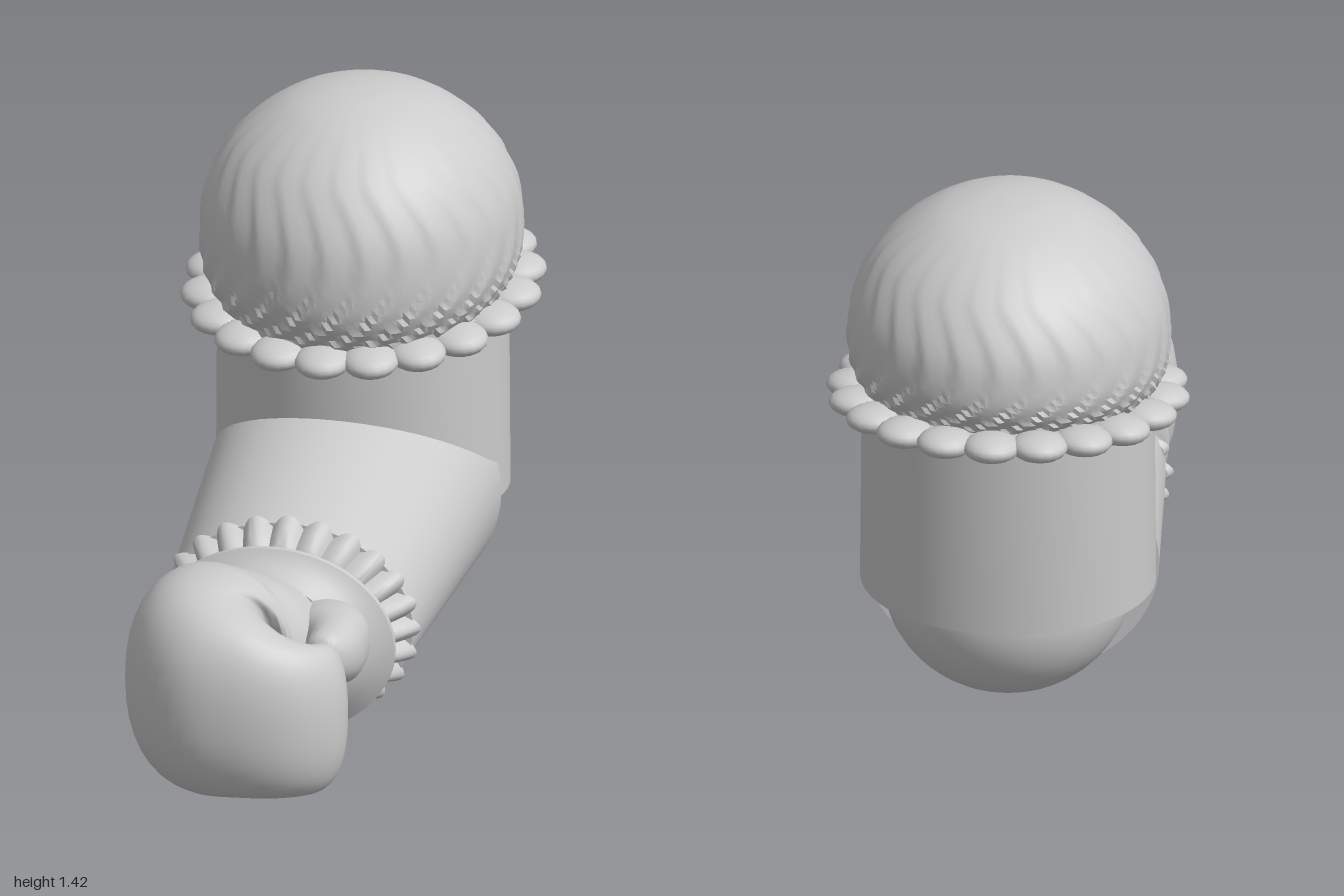
import * as THREE from 'three';
import { toCreasedNormals } from 'three/addons/utils/BufferGeometryUtils.js';

const material = new THREE.MeshStandardMaterial({ color: 0xcccccc, side: THREE.DoubleSide });
const X = new THREE.Vector3(1, 0, 0), Y = new THREE.Vector3(0, 1, 0), Z = new THREE.Vector3(0, 0, 1);

function add(group, name, geometry) {
  const mesh = new THREE.Mesh(geometry, material);
  mesh.name = name;
  group.add(mesh);
  return mesh;
}

// Skin of quads through closed rings of points, with a fan over each end
function skin(rings, crease = 0.7) {
  const n = rings[0].length, last = rings.length - 1, points = [], index = [];
  rings.forEach(ring => ring.forEach(p => points.push(p.x, p.y, p.z)));
  for (let i = 0; i < last; i++) for (let j = 0; j < n; j++) {
    const k = (j + 1) % n, a = i * n + j, b = i * n + k;
    index.push(a, b, a + n, b, b + n, a + n);
  }
  [0, last].forEach(i => {
    const c = rings[i].reduce((s, p) => s.add(p), new THREE.Vector3()).divideScalar(n);
    const centre = points.length / 3;
    points.push(c.x, c.y, c.z);
    for (let j = 0; j < n; j++) {
      const a = i * n + j, b = i * n + (j + 1) % n;
      if (i) index.push(a, b, centre); else index.push(b, a, centre);
    }
  });
  const g = new THREE.BufferGeometry();
  g.setAttribute('position', new THREE.Float32BufferAttribute(points, 3));
  g.setIndex(index);
  return toCreasedNormals(g, crease);
}

// Ring around c with half-axes u and v; scale(angle) varies the radius, power < 1 squares it off
function ring(c, u, v, n, scale = () => 1, power = 1) {
  const soft = s => Math.sign(s) * Math.abs(s) ** power;
  return Array.from({ length: n }, (_, j) => {
    const a = j / n * Math.PI * 2, s = scale(a);
    return c.clone().addScaledVector(u, soft(Math.cos(a)) * s).addScaledVector(v, soft(Math.sin(a)) * s);
  });
}

// Sections along z: [z, centre y, x radius, y radius]
const alongZ = (sections, n = 64, scale) => skin(sections.map(([z, y, rx, ry]) =>
  ring(new THREE.Vector3(0, y, z), X.clone().multiplyScalar(rx), Y.clone().multiplyScalar(ry), n, scale && (a => scale(a, z)))));

// Soft limb bending in the ground plane: [x, y, z, half thickness, half height]
function softLimb(sections, steps, power) {
  const path = new THREE.CatmullRomCurve3(sections.map(s => new THREE.Vector3(s[0], s[1], s[2])), false, 'catmullrom');
  const size = new THREE.CatmullRomCurve3(sections.map(s => new THREE.Vector3(s[3], s[4], 0)), false, 'catmullrom');
  const rings = [];
  for (let i = 0; i <= steps; i++) {
    const t = i / steps, s = size.getPoint(t), dir = path.getTangent(t).setY(0).normalize();
    const side = new THREE.Vector3().crossVectors(Y, dir);
    rings.push(ring(path.getPoint(t), side.multiplyScalar(Math.max(s.x, 0.004)),
      Y.clone().multiplyScalar(Math.max(s.y, 0.004)), 40, undefined, power));
  }
  return skin(rings, 1.1);
}

// Puffed sleeve with swirling pleats that fade out towards the crown
function puffGeometry() {
  const profile = new THREE.CatmullRomCurve3([[0.385, 0.9], [0.425, 0.98], [0.432, 1.07], [0.412, 1.18], [0.34, 1.295],
    [0.21, 1.39], [0.1, 1.424], [0.004, 1.433]].map(([r, y]) => new THREE.Vector3(r, y, 0)));
  const rings = [], steps = 36, pleats = 26;
  for (let i = 0; i <= steps; i++) {
    const t = i / steps, p = profile.getPoint(t);
    const depth = 0.035 * Math.max(0, 1 - t * 1.25);
    const swirl = 0.75 * Math.sin(Math.min(1, t * 1.6 + 0.1) * Math.PI * 0.75);
    const pleat = a => {
      const f = (((a - swirl) * pleats / (Math.PI * 2)) % 1 + 1) % 1;
      return 1 - depth * (f < 0.8 ? f / 0.8 : (1 - f) / 0.2);
    };
    const r = ring(new THREE.Vector3(0, p.y, -0.48), Z.clone().multiplyScalar(p.x), X.clone().multiplyScalar(p.x * 0.94), pleats * 6, pleat);
    // Lower edge follows the sloping trim
    r.forEach(q => { q.y -= 0.14 * (q.z + 0.48) * (1 - t) ** 2; });
    rings.push(r);
  }
  return skin(rings, 0.6);
}

export function createModel() {
  const model = new THREE.Group();
  model.name = 'bentArm';

  // Upper sleeve, elbow and forearm sleeve
  const upper = [[0.38, 0.37, 0.325], [0.95, 0.365, 0.355]].map(([y, rx, rz]) =>
    ring(new THREE.Vector3(0, y, -0.497), Z.clone().multiplyScalar(rz), X.clone().multiplyScalar(rx), 64));
  add(model, 'upperSleeve', skin(upper));
  const elbow = add(model, 'elbow', new THREE.SphereGeometry(1, 40, 28));
  elbow.scale.set(0.315, 0.3, 0.312);
  elbow.position.set(0, 0.39, -0.5);
  add(model, 'forearmSleeve', alongZ([[-0.43, 0.398, 0.372, 0.333], [0.27, 0.287, 0.32, 0.252]]));

  // Shoulder puff and its scalloped trim
  add(model, 'shoulderPuff', puffGeometry());
  const trim = new THREE.Group();
  trim.name = 'shoulderTrim';
  trim.position.set(0, 0.902, -0.5);
  trim.rotation.x = 0.14;
  model.add(trim);
  const band = add(trim, 'trimBand', new THREE.CylinderGeometry(0.4, 0.4, 0.04, 64));
  band.scale.set(0.94, 1, 1.04);
  const scallop = new THREE.SphereGeometry(1, 18, 12);
  for (let i = 0; i < 20; i++) {
    const a = i / 20 * Math.PI * 2;
    const bump = add(trim, 'scallop', scallop);
    bump.position.set(Math.sin(a) * 0.378, 0, Math.cos(a) * 0.42);
    bump.rotation.y = a;
    bump.scale.set(0.072, 0.036, 0.078);
  }

  // Pleated ruffle at the end of the sleeve
  const ruffle = (a, z) => 1 + 0.055 * (Math.abs(Math.cos(a * 12)) * 2 - 1) * (z < 0.255 ? 0.8 : 1);
  add(model, 'cuffRuffle', alongZ([[0.25, 0.288, 0.312, 0.25], [0.265, 0.288, 0.322, 0.257],
    [0.31, 0.287, 0.295, 0.238], [0.345, 0.286, 0.268, 0.215], [0.36, 0.285, 0.235, 0.19]], 192, ruffle));

  // Wrist and flared glove collar
  add(model, 'wrist', alongZ([[0.26, 0.285, 0.213, 0.188], [0.47, 0.285, 0.213, 0.188]]));
  add(model, 'gloveCollar', alongZ([[0.405, 0.285, 0.3, 0.235], [0.412, 0.285, 0.312, 0.245], [0.428, 0.285, 0.312, 0.245],
    [0.438, 0.285, 0.29, 0.228], [0.46, 0.285, 0.25, 0.208], [0.485, 0.285, 0.222, 0.192], [0.5, 0.285, 0.2, 0.18]]));

  // Mitten: palm runs forward, fingers curl across the front to the thumb side
  const hand = new THREE.Group();
  hand.name = 'mittenHand';
  model.add(hand);
  add(hand, 'palmAndFingers', softLimb([[0, 0.285, 0.46, 0.2, 0.185], [-0.04, 0.288, 0.54, 0.225, 0.225],
    [-0.085, 0.288, 0.64, 0.222, 0.272], [-0.085, 0.287, 0.74, 0.21, 0.278], [-0.045, 0.285, 0.82, 0.185, 0.262],
    [0.04, 0.275, 0.86, 0.14, 0.238], [0.13, 0.255, 0.86, 0.108, 0.212], [0.195, 0.242, 0.82, 0.085, 0.196],
    [0.212, 0.24, 0.76, 0.066, 0.18], [0.212, 0.24, 0.71, 0.04, 0.15], [0.21, 0.24, 0.695, 0.004, 0.08]], 60, 0.86));
  add(hand, 'thumb', softLimb([[0.1, 0.33, 0.46, 0.08, 0.09], [0.17, 0.345, 0.53, 0.1, 0.095], [0.205, 0.35, 0.61, 0.08, 0.092],
    [0.21, 0.36, 0.68, 0.066, 0.076], [0.2, 0.372, 0.735, 0.045, 0.055], [0.195, 0.375, 0.76, 0.004, 0.004]], 30, 0.9));
  return model;
}
